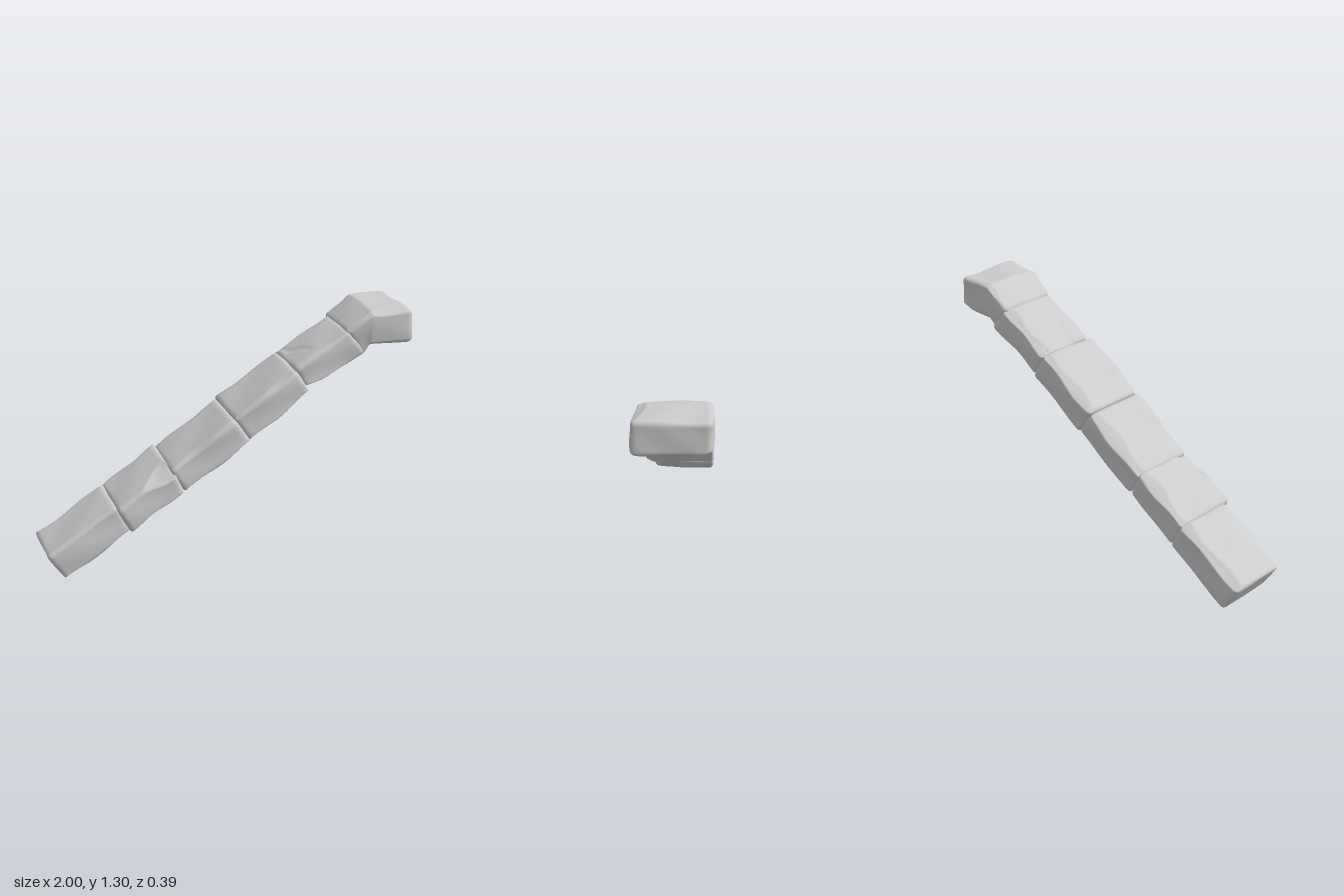
import * as THREE from 'three';
import { mergeVertices } from 'three/addons/utils/BufferGeometryUtils.js';

const SEG = 32;
const RADIUS = 0.024;
const BACK = -0.193;

// Each stone: top and bottom edge points in x/y, front depth at both ends,
// chips [nx, ny, nz, d] cut off in box coordinates (-1..1), and an optional
// crack [face, x0, z0, x1, z1].
const stones = [
  { name: 'footStone', top: [[-1.005, 0.152], [-0.627, 0.386]], bottom: [[-0.905, -0.002], [-0.543, 0.235]],
    front: [0.145, 0.148], chips: [[0, 1, -1, 1.72], [0, -1, 1, 1.85]] },
  { name: 'secondStone', top: [[-0.632, 0.38], [-0.332, 0.577]], bottom: [[-0.553, 0.234], [-0.262, 0.428]],
    front: [0.188, 0.192], chips: [[0.45, 1, 0.8, 1.6], [0, 1, -1, 1.75], [0, -1, 1, 1.75]],
    crack: [-1, -0.1, 0.63, 0.85, -0.68] },
  { name: 'thirdStone', top: [[-0.338, 0.558], [0.015, 0.8]], bottom: [[-0.255, 0.423], [0.112, 0.662]],
    front: [0.178, 0.178], chips: [[0, 1, -1, 1.7], [0, 1, 1, 1.85], [0, -1, 1, 1.8]] },
  { name: 'fourthStone', top: [[0.012, 0.802], [0.358, 1.03]], bottom: [[0.108, 0.657], [0.45, 0.877]],
    front: [0.173, 0.175], chips: [[0, 1, -1, 1.75], [0.1, -1, 1, 1.65], [0, 1, 1, 1.88]] },
  { name: 'fifthStone', top: [[0.355, 1.025], [0.655, 1.208]], bottom: [[0.435, 0.885], [0.762, 1.075]],
    front: [0.142, 0.145], chips: [[0, 1, -1, 1.72], [-0.4, -1, 0.8, 1.6], [0, -1, -1, 1.8]],
    crack: [1, -0.95, -0.88, -0.15, 0.5] },
  { name: 'capStone', top: [[0.643, 1.2], [0.785, 1.306], [0.997, 1.304]],
    bottom: [[0.748, 1.066], [0.775, 1.117], [1.004, 1.125]],
    front: [0.138, 0.192], chips: [[0, 1, 1, 1.8], [0, 1, -1, 1.88], [0.5, -1, -0.9, 2.1]] },
];

// Point on an edge line of two or more points, u from 0 to 1
function along(points, u) {
  const f = u * (points.length - 1);
  const i = Math.min(Math.floor(f), points.length - 2);
  const k = f - i;
  return [0, 1].map((a) => THREE.MathUtils.lerp(points[i][a], points[i + 1][a], k));
}

// Depth of the groove at a point of a cracked face
function crackDepth([, x0, z0, x1, z1], x, z) {
  const dx = x1 - x0, dz = z1 - z0;
  const u = THREE.MathUtils.clamp(((x - x0) * dx + (z - z0) * dz) / (dx * dx + dz * dz), 0, 1);
  const wander = 0.04 * Math.sin(u * 11);
  const dist = Math.hypot(x - x0 - u * dx - wander, z - z0 - u * dz);
  return 0.13 * Math.max(0, 1 - dist / 0.08) * (1 - 0.5 * u);
}

function createStone({ name, top, bottom, front, chips, crack }, index, material) {
  const end = top.length - 1;
  const half = new THREE.Vector3(
    Math.hypot(top[end][0] - top[0][0], top[end][1] - top[0][1]) / 2,
    Math.hypot(top[0][0] - bottom[0][0], top[0][1] - bottom[0][1]) / 2,
    (front[0] - BACK) / 2,
  );
  let geometry = new THREE.BoxGeometry(half.x * 2, half.y * 2, half.z * 2, SEG, SEG, SEG);
  geometry.deleteAttribute('normal');
  geometry.deleteAttribute('uv');
  geometry = mergeVertices(geometry, 1e-5);

  const pos = geometry.attributes.position;
  const inner = half.clone().subScalar(RADIUS);
  const p = new THREE.Vector3(), core = new THREE.Vector3(), n = new THREE.Vector3();
  for (let i = 0; i < pos.count; i++) {
    // Round the edges
    p.fromBufferAttribute(pos, i);
    core.copy(p).clamp(inner.clone().negate(), inner);
    n.copy(p).sub(core).normalize();
    p.copy(core).addScaledVector(n, RADIUS).divide(half);

    // Cut worn edges with gently wavy planes
    chips.forEach(([a, b, c, d], k) => {
      const limit = d + 0.07 * Math.sin(p.x * 4 + index * 2 + k * 1.7);
      const over = a * p.x + b * p.y + c * p.z - limit;
      if (over > 0) {
        const f = over / (a * a + b * b + c * c);
        p.x -= f * a;
        p.y -= f * b;
        p.z -= f * c;
      }
    });
    if (crack && n.y * crack[0] > 0.9) p.y -= crack[0] * crackDepth(crack, p.x, p.z);

    // Lay the block between its top and bottom edge lines
    const s = (p.x + 1) / 2, t = (p.y + 1) / 2;
    const hi = along(top, s), lo = along(bottom, s);
    const zFront = THREE.MathUtils.lerp(front[0], front[1], s);
    const wave = 0.003 * (Math.sin(p.x * 3.1 + p.z * 2.3 + index * 1.9) + Math.sin(p.y * 2.7 - p.z * 4.1 + p.x * 2 + index));
    pos.setXYZ(
      i,
      THREE.MathUtils.lerp(lo[0], hi[0], t) + n.x * wave * 0.4,
      THREE.MathUtils.lerp(lo[1], hi[1], t) + n.y * wave,
      THREE.MathUtils.lerp(BACK, zFront, (p.z + 1) / 2) + n.z * wave,
    );
  }
  geometry.computeVertexNormals();
  const mesh = new THREE.Mesh(geometry, material);
  mesh.name = name;
  return mesh;
}

export function createModel() {
  const group = new THREE.Group();
  group.name = 'slopedStoneCoping';
  const material = new THREE.MeshStandardMaterial({ color: 0xcccccc });
  stones.forEach((stone, i) => group.add(createStone(stone, i, material)));
  return group;
}
